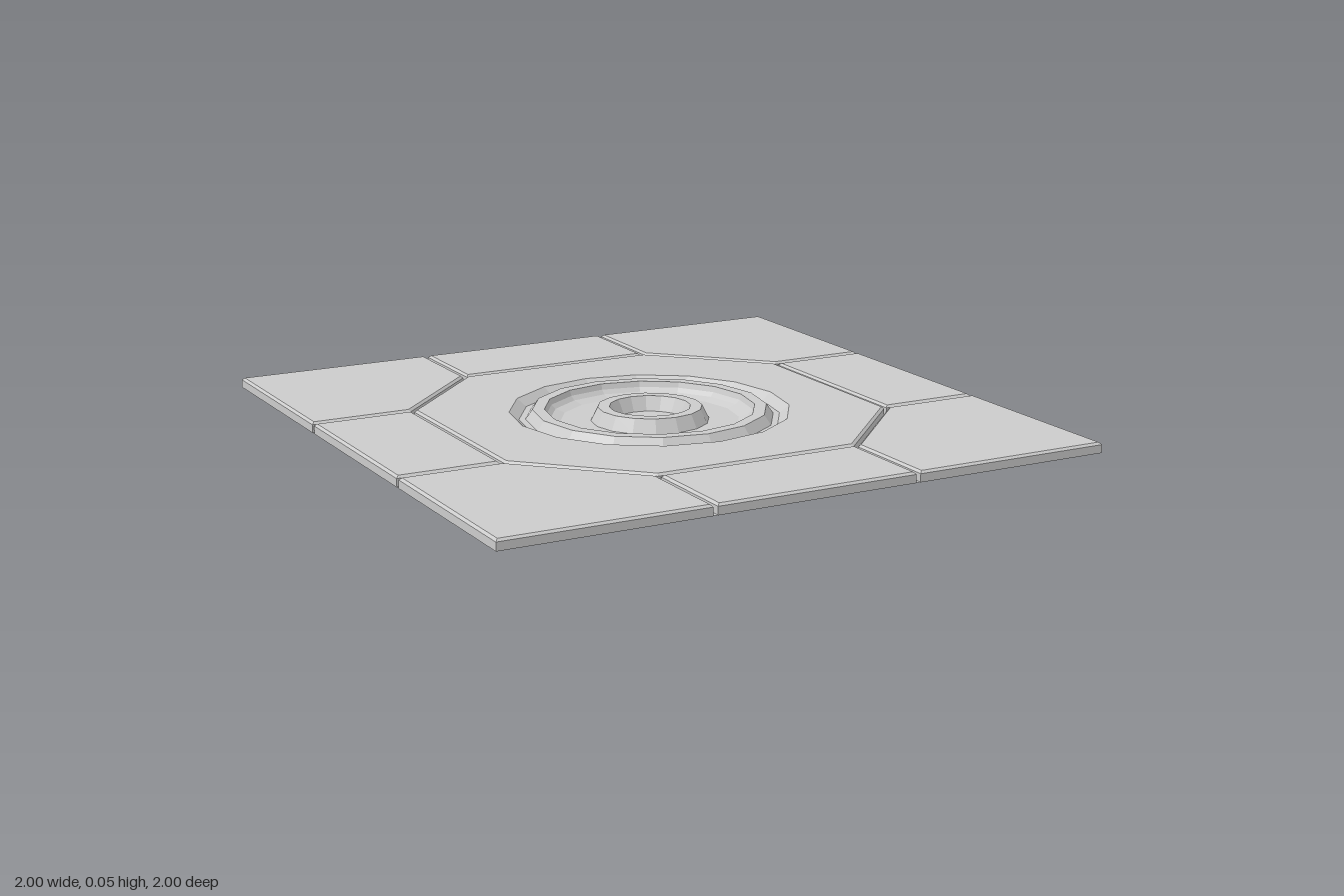
import * as THREE from 'three';

const TOP = 0.037, BEVEL_Y = 0.03, BASE = 0.004;
const material = new THREE.MeshStandardMaterial({ color: 0xcccccc, flatShading: true, side: THREE.DoubleSide });

// Moves the edges of a convex counter-clockwise outline inward by d
function inset(pts, d) {
  return pts.map((p, i) => {
    const a = pts[(i + pts.length - 1) % pts.length], b = pts[(i + 1) % pts.length];
    const u = p.clone().sub(a).normalize(), v = b.clone().sub(p).normalize();
    const n1 = new THREE.Vector2(-u.y, u.x), n2 = new THREE.Vector2(-v.y, v.x);
    const k = d / (1 + n1.dot(n2));
    return p.clone().addScaledVector(n1.add(n2), k);
  });
}

// Raised plate: flat top, narrow bevel and straight skirt (plan in xy, height in z)
function plate(name, outline, hole) {
  const group = new THREE.Group();
  group.name = name;
  const inner = inset(outline, 0.008);
  const shape = new THREE.Shape(inner);
  if (hole) shape.holes.push(new THREE.Path(hole));
  const top = new THREE.Mesh(new THREE.ShapeGeometry(shape), material);
  top.name = name + 'Top';
  top.position.z = TOP;

  const levels = [[outline, BASE], [outline, BEVEL_Y], [inner, TOP]];
  const pos = [], idx = [], n = outline.length;
  for (const [loop, h] of levels) for (const p of loop) pos.push(p.x, p.y, h);
  for (let l = 0; l < 2; l++) {
    for (let i = 0; i < n; i++) {
      const a = l * n + i, b = l * n + (i + 1) % n;
      idx.push(a, b, b + n, a, b + n, a + n);
    }
  }
  const geo = new THREE.BufferGeometry();
  geo.setAttribute('position', new THREE.Float32BufferAttribute(pos, 3));
  geo.setIndex(idx);
  geo.computeVertexNormals();
  const edge = new THREE.Mesh(geo, material);
  edge.name = name + 'Edge';
  group.add(top, edge);
  return group;
}

const points = list => list.map(([x, y]) => new THREE.Vector2(x, y));

export function createModel() {
  const model = new THREE.Group();
  model.name = 'floorTile';
  const slab = new THREE.Group();
  slab.name = 'slab';
  slab.rotation.x = -Math.PI / 2;
  model.add(slab);

  // Outlines of the three kinds of plate
  const side = points([[-0.329, -1], [0.329, -1], [0.329, -0.675], [-0.329, -0.675]]);
  const corner = points([[0.343, -1], [1, -1], [1, -0.343], [0.673, -0.343], [0.343, -0.673]]);
  const a = 0.334, b = 0.663;
  const octagon = points([[a, -b], [b, -a], [b, a], [a, b], [-a, b], [-b, a], [-b, -a], [-a, -b]]);
  const hole = Array.from({ length: 16 }, (_, i) => {
    const t = i * Math.PI / 8;
    return new THREE.Vector2(0.445 * Math.cos(t), 0.445 * Math.sin(t));
  });

  // Four edge plates and four corner plates around the octagon
  const outlines = [octagon];
  slab.add(plate('centrePlate', octagon, hole));
  for (let i = 0; i < 4; i++) {
    for (const [name, outline] of [['edgePlate', side], ['cornerPlate', corner]]) {
      const turned = outline.map(p => p.clone().rotateAround(new THREE.Vector2(), i * Math.PI / 2));
      outlines.push(turned);
      slab.add(plate(name + (i + 1), turned));
    }
  }

  // Groove floor, open beneath every plate
  const s = 1 - 0.0005;
  const floor = new THREE.Shape(points([[-1, -1], [1, -1], [1, 1], [-1, 1]]));
  for (const o of outlines) floor.holes.push(new THREE.Path(o.map(p => p.clone().multiplyScalar(s))));
  const grooves = new THREE.Mesh(new THREE.ShapeGeometry(floor), material);
  grooves.name = 'grooveFloor';
  grooves.position.z = BASE + 0.001;
  slab.add(grooves);

  // Round relief: moat, outer ring, bowl, inner ring and sunken centre
  const profile = points([
    [0, 0], [0.108, 0], [0.129, 0.046], [0.166, 0.046], [0.188, 0.002],
    [0.284, 0.002], [0.315, 0.012], [0.328, 0.025], [0.334, 0.043],
    [0.372, 0.043], [0.394, 0.012], [0.414, 0.012], [0.445, TOP],
  ]);
  const relief = new THREE.Mesh(new THREE.LatheGeometry(profile.reverse(), 16), material);
  relief.name = 'ringRelief';
  model.add(relief);
  return model;
}
